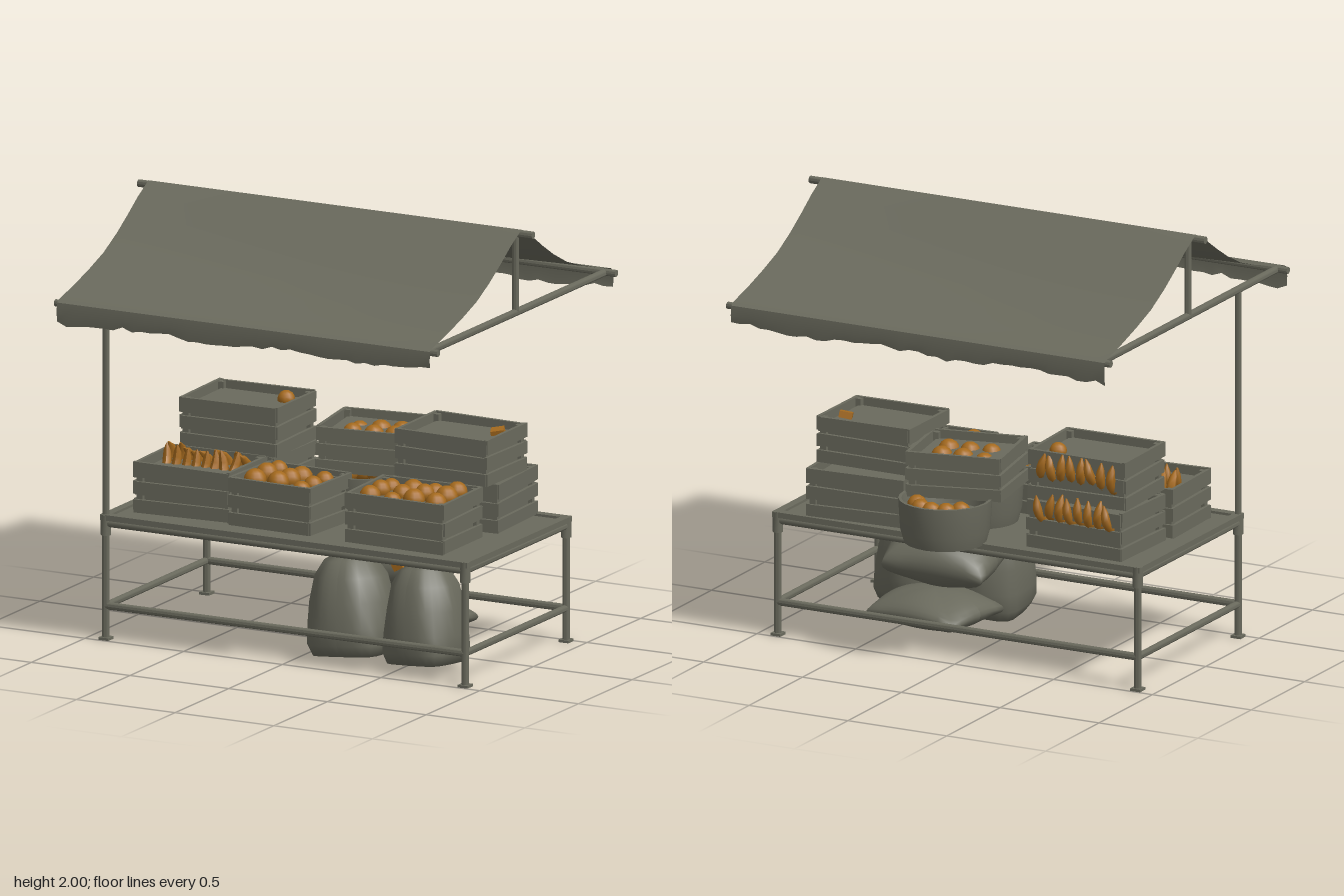
import * as THREE from 'three';
import { toCreasedNormals } from 'three/addons/utils/BufferGeometryUtils.js';

const drab = new THREE.MeshStandardMaterial({ color: 0x6a6a5d, side: THREE.DoubleSide });
drab.name = 'weathered olive grey';
const orange = new THREE.MeshStandardMaterial({ color: 0xa56a1e });
orange.name = 'fruit orange';

let seed = 7;
const rnd = (a, b) => {
  seed = (seed * 16807) % 2147483647;
  return a + (b - a) * (seed / 2147483647);
};

function add(parent, name, geo, x = 0, y = 0, z = 0, mat = drab) {
  const m = new THREE.Mesh(geo, mat);
  m.name = name;
  m.position.set(x, y, z);
  parent.add(m);
  return m;
}

function box(parent, name, w, h, d, x, y, z, mat) {
  return add(parent, name, new THREE.BoxGeometry(w, h, d), x, y, z, mat);
}

// Round pipe between two points
function pipe(parent, name, a, b, r) {
  const p = new THREE.Vector3(...a), q = new THREE.Vector3(...b);
  const geo = toCreasedNormals(new THREE.CylinderGeometry(r, r, p.distanceTo(q), 10), 0.8);
  const m = add(parent, name, geo);
  m.position.copy(p).lerp(q, 0.5);
  m.quaternion.setFromUnitVectors(new THREE.Vector3(0, 1, 0), q.sub(p).normalize());
  return m;
}

function bend(geo, rule) {
  const pos = geo.attributes.position, v = new THREE.Vector3();
  for (let i = 0; i < pos.count; i++) {
    rule(v.fromBufferAttribute(pos, i), i);
    pos.setXYZ(i, v.x, v.y, v.z);
  }
  geo.computeVertexNormals();
  return geo;
}

// Sagging cloth over the ridge with ragged hems front and back
function makeCanopy(parent) {
  const half = [[0, 1.998], [0.1, 1.945], [0.2, 1.88], [0.3, 1.82], [0.42, 1.76], [0.55, 1.715],
    [0.7, 1.67], [0.83, 1.638], [0.853, 1.625], [0.857, 1.58], [0.852, 1.535]];
  const cols = 40, n = half.length - 1;
  const geo = bend(new THREE.PlaneGeometry(1.89, 2, cols, n * 2), (v, i) => {
    const row = Math.floor(i / (cols + 1)), k = Math.abs(row - n), side = row < n ? -1 : 1;
    const [z, y] = half[k];
    const sag = k > 0 && k < 7 ? 0.022 * Math.sin((k / 7) * Math.PI) * Math.cos(v.x * 1.6) : 0;
    v.set(v.x - 0.005, y - sag, z * side);
    if (k === n) v.y += rnd(-0.01, 0.012) + 0.008 * Math.sin(v.x * 9);
  });
  add(parent, 'canopyCloth', toCreasedNormals(geo, 0.45));
}

function makeFrame(parent) {
  const X = 0.91, Z = 0.47;
  for (const x of [-X, X]) {
    for (const z of [-Z, Z]) {
      pipe(parent, 'tableLeg', [x, 0, z], [x, 0.56, z], 0.017);
      pipe(parent, 'legSleeve', [x, 0.48, z], [x, 0.574, z], 0.024);
      box(parent, 'foot', 0.05, 0.012, 0.05, x, 0.006, z);
    }
    pipe(parent, 'sideRail', [x, 0.535, -Z], [x, 0.535, Z], 0.018);
    pipe(parent, 'sideLowRail', [x, 0.155, -Z], [x, 0.155, Z], 0.016);
    box(parent, 'tableSideEdge', 0.04, 0.026, 0.98, x, 0.562, 0);
    pipe(parent, 'roofBeam', [x, 1.615, -0.84], [x, 1.615, 0.84], 0.017);
    pipe(parent, 'kingPost', [x, 1.615, 0], [x, 1.98, 0], 0.016);
  }
  for (const z of [-Z, Z]) {
    pipe(parent, 'longRail', [-X, 0.535, z], [X, 0.535, z], 0.018);
    pipe(parent, 'longLowRail', [-X, 0.155, z], [X, 0.155, z], 0.017);
    box(parent, 'tableLongEdge', 1.86, 0.026, 0.04, 0, 0.562, z);
  }
  box(parent, 'tableTop', 1.82, 0.012, 0.94, 0, 0.558, 0);
  pipe(parent, 'tallPost', [-X, 0.5, Z], [-X, 1.61, Z], 0.015);
  pipe(parent, 'ridgePole', [-1, 1.979, 0], [1, 1.979, 0], 0.017);
  for (const z of [-0.83, 0.83]) pipe(parent, 'eavePole', [-0.97, 1.617, z], [0.97, 1.617, z], 0.016);
}

// Slatted crate with a filled core; the origin is at the bottom centre
function makeCrate(parent, name, x, y, z, w, h, d, yaw = 0) {
  const g = new THREE.Group();
  g.name = name;
  g.position.set(x, y, z);
  g.rotation.y = yaw;
  parent.add(g);
  box(g, 'crateCore', w - 0.06, h - 0.035, d - 0.06, 0, (h - 0.035) / 2, 0);
  for (const s of [-1, 1]) {
    for (const t of [-1, 1]) {
      box(g, 'cornerPost', 0.03, h - 0.01, 0.03, s * (w / 2 - 0.027), h / 2, t * (d / 2 - 0.027));
    }
    for (let k = 0; k < 3; k++) {
      const sy = h * (0.14 + 0.355 * k), sh = h * (k === 2 ? 0.3 : 0.26);
      const long = box(g, 'longSlat', w - rnd(0, 0.02), sh, 0.016, 0, sy, s * (d / 2 - 0.008));
      const short = box(g, 'shortSlat', 0.016, sh, d - rnd(0, 0.02), s * (w / 2 - 0.008), sy, 0);
      long.rotation.z = rnd(-0.015, 0.015);
      short.rotation.x = rnd(-0.015, 0.015);
    }
  }
  return g;
}

function makeOranges(parent, nx, nz, w, d, y) {
  for (let i = 0; i < nx; i++) for (let j = 0; j < nz; j++) {
    add(parent, 'roundFruit', new THREE.SphereGeometry(rnd(0.042, 0.052), 12, 8),
      ((i + 0.5) / nx - 0.5) * w, y + rnd(-0.015, 0.012), ((j + 0.5) / nz - 0.5) * d, orange);
  }
}

// Curved, pointed fruit
const bananaGeo = bend(new THREE.CylinderGeometry(1, 1, 0.16, 6, 6), (v) => {
  const t = v.y / 0.08, r = 0.004 + 0.018 * Math.sqrt(Math.max(0, 1 - t * t));
  v.set(v.x * r, v.y, v.z * r + 0.035 * t * t);
});
function makeBananas(parent, count, w, y, z, lean) {
  for (let i = 0; i < count; i++) {
    const b = add(parent, 'curvedFruit', bananaGeo, ((i + 0.5) / count - 0.5) * w, y + rnd(-0.01, 0.01), z, orange);
    b.rotation.set(lean + rnd(-0.15, 0.15), rnd(-0.2, 0.2), rnd(-0.25, 0.25));
  }
}

// Open round basket with some fruit
function makeBasket(parent, x, z, r) {
  const g = new THREE.Group();
  g.name = 'basket';
  g.position.set(x, 0.567, z);
  parent.add(g);
  const pts = [[0, 0], [r * 0.88, 0], [r * 0.96, 0.06], [r, 0.2], [r - 0.014, 0.2], [r - 0.03, 0.12], [0, 0.13]];
  const geo = new THREE.LatheGeometry(pts.map((p) => new THREE.Vector2(...p)), 24);
  add(g, 'basketBody', toCreasedNormals(geo, 0.7));
  for (let i = 0; i < 5; i++) {
    const a = Math.PI + 0.5 + i * 0.55;
    add(g, 'basketFruit', new THREE.SphereGeometry(0.045, 10, 8), Math.cos(a) * r * 0.6, 0.165, Math.sin(a) * r * 0.6, orange);
  }
}

// Upright tied sack with squared bottom corners
function makeSack(parent, x, z, r, leanX, leanZ, yaw) {
  const g = new THREE.Group();
  g.name = 'uprightSack';
  g.position.set(x, 0.035, z);
  g.rotation.set(leanX, yaw, leanZ);
  parent.add(g);
  const pts = [[0, 0], [0.85, 0], [1, 0.05], [1.04, 0.13], [0.99, 0.24], [0.86, 0.35], [0.62, 0.42], [0.28, 0.455],
    [0.2, 0.47], [0.34, 0.5], [0, 0.48]];
  const geo = new THREE.LatheGeometry(pts.map((p) => new THREE.Vector2(p[0] * r, p[1])), 32);
  add(g, 'sackBody', bend(geo, (v) => {
    const a = Math.atan2(v.z, v.x), low = Math.max(0, 1 - v.y / 0.3);
    const k = 1 + 0.2 * low * low * Math.sin(2 * a) ** 4 + 0.025 * Math.sin(7 * a) * Math.min(1, v.y / 0.3);
    v.x *= k;
    v.z *= k;
  }));
  for (let i = 0; i < 5; i++) {
    const a = i * 1.257;
    const t = add(g, 'sackTuft', new THREE.ConeGeometry(0.028, 0.09, 5), Math.cos(a) * 0.045, 0.475, Math.sin(a) * 0.045);
    t.rotation.set(Math.sin(a) * 0.5, 0, -Math.cos(a) * 0.5);
  }
}

// Lying sack: a cushion with pinched corners
function makeCushion(parent, x, y, z, a, h, b, rot) {
  const geo = bend(new THREE.SphereGeometry(1, 32, 16), (v) => {
    const len = Math.hypot(v.x, v.z) || 1;
    const k = Math.pow(Math.max(Math.abs(v.x), Math.abs(v.z)) / len || 1, -0.85 * len * len);
    const corner = Math.min(1, (k - 1) * 2);
    v.set(v.x * k * a, v.y * h * (1 - 0.3 * corner) - 0.03 * corner * len, v.z * k * b);
  });
  add(parent, 'lyingSack', geo, x, y, z).rotation.set(...rot);
}

export function createModel() {
  const stall = new THREE.Group();
  stall.name = 'marketStall';
  makeFrame(stall);
  makeCanopy(stall);

  const goods = new THREE.Group();
  goods.name = 'goods';
  stall.add(goods);

  // Front row of crates
  const left = makeCrate(goods, 'frontLeftCrate', -0.595, 0.57, 0.17, 0.48, 0.23, 0.38, 0.03);
  makeBananas(left, 9, 0.42, 0.205, -0.1, 0.3);
  makeBananas(left, 8, 0.38, 0.185, 0.0, -0.5);
  const mid = makeCrate(goods, 'frontMiddleCrate', -0.125, 0.57, 0.2, 0.43, 0.22, 0.36, -0.05);
  makeOranges(mid, 3, 3, 0.36, 0.3, 0.2);
  const right = makeCrate(goods, 'frontRightCrate', 0.51, 0.57, 0.215, 0.5, 0.23, 0.38, 0.02);
  makeOranges(right, 4, 3, 0.44, 0.31, 0.21);

  // Back row stacks
  const d1 = makeCrate(goods, 'backLeftLowerCrate', -0.57, 0.57, -0.23, 0.49, 0.22, 0.4, -0.03);
  makeBananas(d1, 8, 0.4, 0.17, -0.2, -0.35);
  const d2 = makeCrate(goods, 'backLeftUpperCrate', -0.56, 0.795, -0.21, 0.49, 0.225, 0.39, 0.02);
  makeBananas(d2, 8, 0.4, 0.13, -0.2, -0.35);
  add(d2, 'roundFruit', new THREE.SphereGeometry(0.04, 10, 8), 0.15, 0.2, -0.08, orange);
  makeCrate(goods, 'backRightLowerCrate', 0.54, 0.57, -0.25, 0.48, 0.225, 0.42, 0.06);
  const f2 = makeCrate(goods, 'backRightUpperCrate', 0.535, 0.795, -0.18, 0.47, 0.215, 0.38);
  box(f2, 'fruitPiece', 0.06, 0.03, 0.05, 0.16, 0.195, -0.05, orange).rotation.set(0.2, 0.4, 0.1);

  // Baskets carrying the middle crate
  makeBasket(goods, 0.05, -0.495, 0.21);
  makeBasket(goods, 0.07, -0.12, 0.19);
  const e = makeCrate(goods, 'backMiddleCrate', 0.06, 0.75, -0.27, 0.45, 0.205, 0.39, 0.17);
  e.rotation.z = -0.02;
  makeOranges(e, 3, 2, 0.3, 0.2, 0.145);
  box(goods, 'basketLabel', 0.05, 0.045, 0.01, 0.16, 0.67, 0.075, orange);

  // Sacks under the table
  makeSack(stall, 0.24, 0.28, 0.19, -0.1, 0.08, 0.1);
  makeSack(stall, 0.605, 0.27, 0.175, -0.08, 0.07, -0.1);
  makeCushion(stall, 0.27, 0.37, -0.09, 0.25, 0.14, 0.19, [-0.12, 0.15, 0.1]);
  makeCushion(stall, 0.3, 0.13, -0.13, 0.25, 0.09, 0.21, [0, -0.12, 0]);
  box(stall, 'sackFruit', 0.05, 0.04, 0.04, 0.47, 0.465, 0.28, orange).rotation.z = 0.5;
  box(stall, 'hangingFruitBlock', 0.07, 0.055, 0.085, 0.56, 0.523, -0.205, orange);
  return stall;
}
